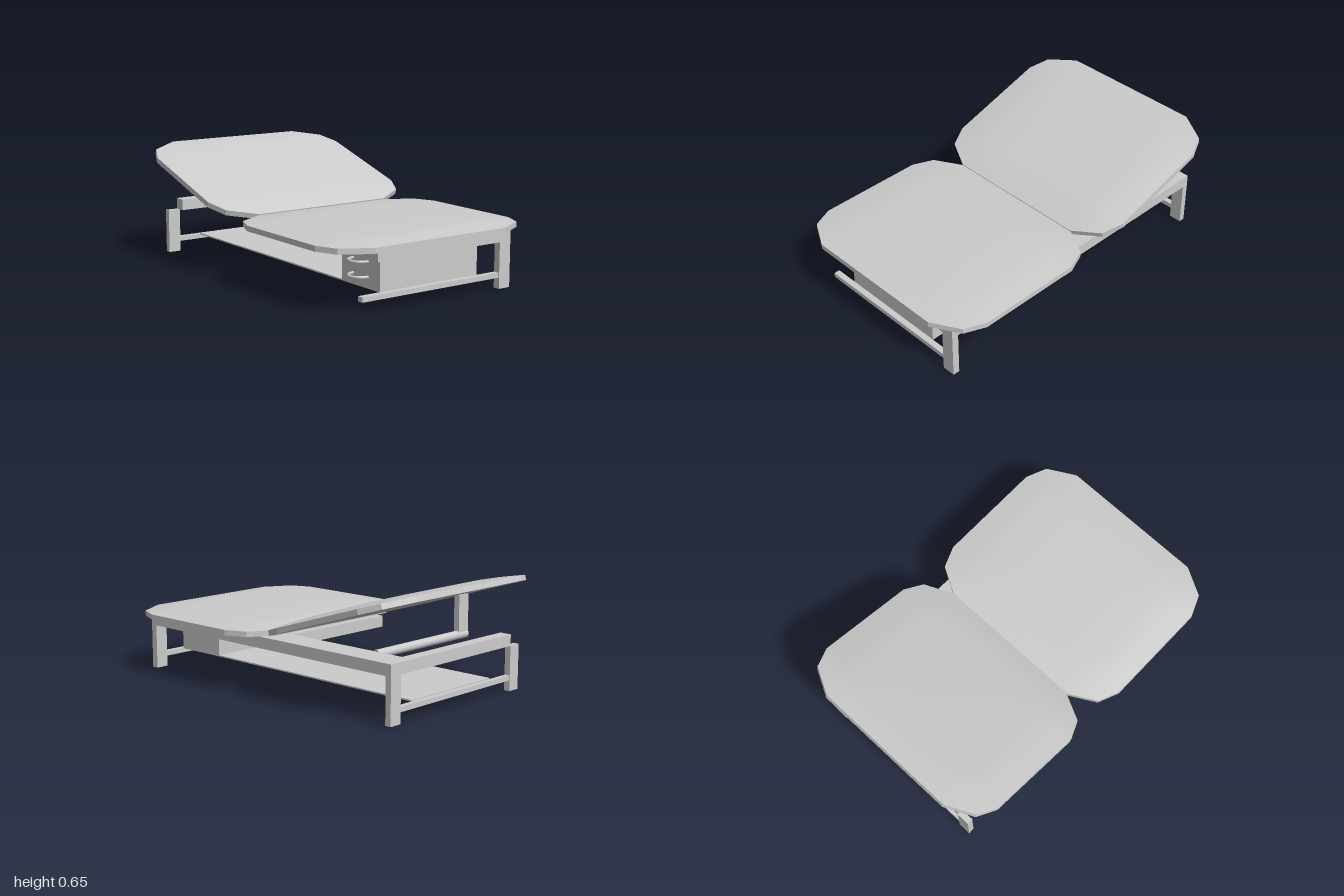
import * as THREE from 'three';

const material = new THREE.MeshStandardMaterial({ color: 0xcccccc });

function add(group, name, geometry) {
  const mesh = new THREE.Mesh(geometry, material);
  mesh.name = name;
  group.add(mesh);
  return mesh;
}

// Box given by its lower and upper limits on each axis
function box(group, name, [x0, x1], [y0, y1], [z0, z1]) {
  const mesh = add(group, name, new THREE.BoxGeometry(x1 - x0, y1 - y0, z1 - z0));
  mesh.position.set((x0 + x1) / 2, (y0 + y1) / 2, (z0 + z1) / 2);
  return mesh;
}

// Closed outline with three points per corner, mirrored into four quadrants
function cushionOutline(halfLength) {
  const k = halfLength / 0.52;
  const q = [[0.64, 0.31 * k], [0.59, 0.43 * k], [0.43, 0.52 * k]];
  const r = [...q].reverse();
  return [
    ...q,
    ...r.map(([x, z]) => [-x, z]),
    ...q.map(([x, z]) => [-x, -z]),
    ...r.map(([x, z]) => [x, -z]),
  ];
}

// Smooth crown made of shrinking copies of the outline
function crownGeometry(outline) {
  const rings = [[1, 0.03], [0.84, 0.044], [0.68, 0.053], [0.35, 0.055], [0, 0.055]];
  const n = outline.length;
  const positions = [];
  const index = [];
  for (const [s, y] of rings) for (const [x, z] of outline) positions.push(x * s, y, z * s);
  for (let i = 0; i < rings.length - 1; i++) {
    for (let j = 0; j < n; j++) {
      const a = i * n + j, b = i * n + (j + 1) % n;
      index.push(a, a + n, b);
      if (i < rings.length - 2) index.push(b, a + n, b + n);
    }
  }
  const geometry = new THREE.BufferGeometry();
  geometry.setAttribute('position', new THREE.Float32BufferAttribute(positions, 3));
  geometry.setIndex(index);
  geometry.computeVertexNormals();
  // The collapsed last ring points straight up
  for (let j = 0; j < n; j++) geometry.attributes.normal.setXYZ((rings.length - 1) * n + j, 0, 1, 0);
  return geometry;
}

function cushion(name, halfLength) {
  const group = new THREE.Group();
  group.name = name;
  const outline = cushionOutline(halfLength);
  const shape = new THREE.Shape(outline.map(([x, z]) => new THREE.Vector2(x, z)));
  const slab = new THREE.ExtrudeGeometry(shape, { depth: 0.03, bevelEnabled: false });
  slab.rotateX(-Math.PI / 2);
  add(group, name + 'Base', slab);
  add(group, name + 'Crown', crownGeometry(outline));
  return group;
}

export function createModel() {
  const model = new THREE.Group();
  model.name = 'lounger';

  // Seat lies flat, backrest is tilted up towards the back
  const seat = cushion('seat', 0.52);
  seat.position.set(0, 0.317, 0.48);
  const backrest = cushion('backrest', 0.5);
  backrest.position.set(0, 0.473, -0.522);
  backrest.rotation.x = 0.302;
  model.add(seat, backrest);

  // Frame: one long side rail, a deck under the seat and a rear rail
  const frameY = [0.253, 0.317];
  box(model, 'sideRail', [0.367, 0.53], frameY, [-0.925, 0.93]);
  box(model, 'seatDeck', [-0.36, 0.367], frameY, [-0.08, 0.93]);
  box(model, 'rearRail', [-0.45, 0.367], frameY, [-0.925, -0.855]);

  // Legs and the low stretchers between them
  const legY = [0, 0.253];
  box(model, 'frontLeg', [0.455, 0.53], legY, [0.89, 0.93]);
  box(model, 'rearLeftLeg', [0.455, 0.53], legY, [-0.925, -0.89]);
  box(model, 'rearRightLeg', [-0.525, -0.45], legY, [-0.925, -0.89]);
  box(model, 'frontStretcher', [-0.45, 0.455], [0.06, 0.087], [0.89, 0.925]);
  box(model, 'rearStretcher', [-0.45, 0.455], [0.06, 0.087], [-0.922, -0.89]);

  // Storage: thin shelf with a drawer cabinet at the front
  box(model, 'shelf', [-0.315, 0.33], [0.085, 0.093], [-0.89, 0.89]);
  box(model, 'cabinet', [-0.315, 0.33], [0.093, 0.253], [0.57, 0.89]);

  // Bow handles on the side of the cabinet
  for (const y of [0.145, 0.225]) {
    const handle = add(model, 'drawerHandle', new THREE.TorusGeometry(0.062, 0.008, 8, 20, Math.PI));
    handle.rotation.set(Math.PI / 2, 0, Math.PI / 2);
    handle.position.set(-0.315, y, 0.73);
  }

  // Pivot rod and the prop that holds the backrest up
  const rod = add(model, 'pivotRod', new THREE.CylinderGeometry(0.024, 0.024, 0.73, 20));
  rod.rotation.z = Math.PI / 2;
  rod.position.set(0.005, 0.303, -0.685);
  box(model, 'backrestProp', [-0.36, -0.28], [0.3, 0.525], [-0.702, -0.668]);

  return model;
}
